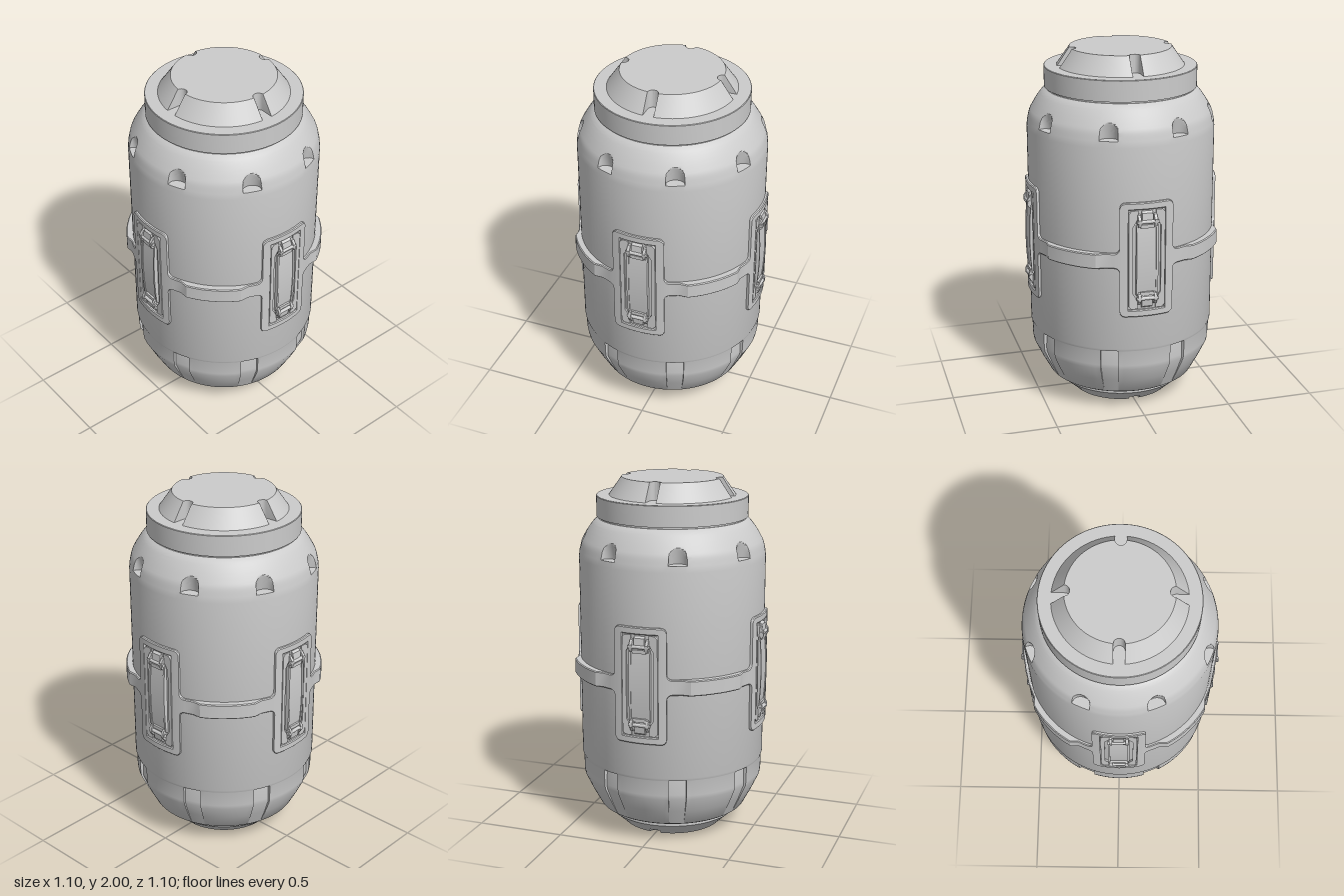
import * as THREE from 'three';
import { toCreasedNormals } from 'three/addons/utils/BufferGeometryUtils.js';

const material = new THREE.MeshStandardMaterial({ color: 0xcccccc });
const polar = (r, a, y) => [r * Math.sin(a), y, r * Math.cos(a)];

function mesh(name, geometry, crease = 0.5) {
  const m = new THREE.Mesh(toCreasedNormals(geometry, crease), material);
  m.name = name;
  return m;
}

// Skin over rows of points: rows run upward, points run counter-clockwise
function loft(rows) {
  const n = rows[0].length, index = [];
  for (let i = 0; i < rows.length - 1; i++) {
    for (let j = 0; j < n - 1; j++) {
      const a = i * n + j, b = a + 1, c = b + n, d = a + n;
      index.push(a, b, c, a, c, d);
    }
  }
  const g = new THREE.BufferGeometry();
  g.setAttribute('position', new THREE.Float32BufferAttribute(rows.flat(2), 3));
  g.setIndex(index);
  g.computeVertexNormals();
  return g;
}

function lathe(name, profile) {
  const pts = profile.map(([r, y]) => new THREE.Vector2(r, y));
  return mesh(name, new THREE.LatheGeometry(pts, 96));
}

// Barrel with eight scooped pockets in the shoulder and eight shallow ones near the foot
function createBody() {
  const half = 0.096, columns = [];
  for (let k = 0; k < 8; k++) {
    const mid = (k + 0.5) * Math.PI / 4, edge = Math.PI / 8;
    for (let i = 0; i < 5; i++) columns.push([mid - edge + (edge - half) * i / 5, null]);
    columns.push([mid - half - 0.001, null]);
    for (let i = -6; i <= 6; i++) {
      const t = Math.sin(i * Math.PI / 12);
      columns.push([mid + half * t, t]);
    }
    columns.push([mid + half + 0.001, null]);
    for (let i = 1; i <= 4; i++) columns.push([mid + half + (edge - half) * i / 5, null]);
  }
  columns.push([Math.PI * 2, null]);

  const shoulder = new THREE.SplineCurve([[0.5155, 1.602], [0.505, 1.645], [0.487, 1.68],
    [0.462, 1.72], [0.435, 1.755], [0.41, 1.775]].map(p => new THREE.Vector2(...p)));
  const profile = [[0.34, 0.11], [0.405, 0.11], [0.42, 0.12], [0.468, 0.21], [0.508, 0.295], [0.512, 0.32],
    [0.514, 0.408], [0.515, 0.411], [0.52, 0.425], [0.52, 1.565], [0.516, 1.6],
    ...shoulder.getPoints(24).map(p => [p.x, p.y]), [0.38, 1.775]];

  const rows = profile.map(([r, y]) => columns.map(([a, t]) => {
    let rad = r;
    if (t !== null && y > 1.601) {
      const cut = 0.5 - 0.04 * Math.sqrt(Math.max(0, 1 - t * t)) + 0.22 * (y - 1.6);
      rad = Math.min(r, cut);
    }
    if (t !== null && y > 0.12 && y < 0.41) rad = r - 0.02 * (y - 0.12) / 0.28;
    return polar(rad, a, y);
  }));
  return mesh('body', loft(rows));
}

// Curved raised plate: columns are [angle, low y, high y, radius]
function curvedPlate(name, columns) {
  const inner = 0.5, c = 0.005;
  const first = columns[0], last = columns[columns.length - 1];
  const all = [[...first.slice(0, 3), inner], ...columns, [...last.slice(0, 3), inner]];
  const rows = [
    all.map(([a, lo]) => polar(inner, a, lo)),
    all.map(([a, lo, , r]) => polar(Math.max(inner, r - c), a, lo)),
    all.map(([a, lo, , r]) => polar(r, a, lo + c)),
    all.map(([a, , hi, r]) => polar(r, a, hi - c)),
    all.map(([a, , hi, r]) => polar(Math.max(inner, r - c), a, hi)),
    all.map(([a, , hi]) => polar(inner, a, hi)),
  ];
  return mesh(name, loft(rows), 0.4);
}

const MID = 0.945, PLATE_R = 0.535, OPEN = 0.105 / PLATE_R;

// Quarter of the girdle: plate side, filleted band, thick guard at 45 degrees, next plate side
function girdleQuarter() {
  const halfCols = [], R = 0.03;
  const add = (s, h, r = PLATE_R) => halfCols.push([s / PLATE_R, h, r]);
  add(0.105, 0.325);
  for (let i = 0; i <= 6; i++) {
    const t = i * Math.PI / 12;
    add(0.12 + R * Math.sin(t), 0.295 + R * Math.cos(t));
  }
  for (let i = 0; i <= 6; i++) {
    const t = i * Math.PI / 12;
    add(0.18 - R * Math.cos(t), 0.073 - R * Math.sin(t));
  }
  const deg = Math.PI / 180;
  halfCols.push([25 * deg, 0.043, PLATE_R]);
  for (let a = 29.5; a <= 45; a += 3.1) halfCols.push([a * deg, 0.043, 0.556]);
  const mirrored = halfCols.slice().reverse().map(([a, h, r]) => [Math.PI / 2 - a, h, r]);
  const cols = [...halfCols, ...mirrored].map(([a, h, r]) => [a, MID - h, MID + h, r]);
  return curvedPlate('girdle', cols);
}

function plateEnd(lo, hi) {
  const cols = [];
  for (let i = -4; i <= 4; i++) cols.push([OPEN * i / 4, lo, hi, PLATE_R]);
  return curvedPlate('latchPlateEnd', cols);
}

function box(name, w, h, d, x, y, z) {
  const m = mesh(name, new THREE.BoxGeometry(w, h, d));
  m.position.set(x, y, z);
  return m;
}

// Side profile [z, y] extruded across x
function across(name, points, width, x = 0) {
  const shape = new THREE.Shape(points.map(p => new THREE.Vector2(...p)));
  const g = new THREE.ExtrudeGeometry(shape, { depth: width, bevelEnabled: false });
  g.rotateY(-Math.PI / 2).translate(x + width / 2, 0, 0);
  return mesh(name, g);
}

function bow(halfLength, zEnd, zMid) {
  const pts = [[0.5, -halfLength]];
  for (let i = -8; i <= 8; i++) {
    const t = i / 8;
    pts.push([zMid - (zMid - zEnd) * t * t, halfLength * t]);
  }
  pts.push([0.5, halfLength]);
  return pts;
}

// Clasp set in the opening of each plate
function createLatch() {
  const g = new THREE.Group();
  g.name = 'latch';
  for (const s of [-1, 1]) {
    const rail = new THREE.Shape([[0.1, -0.265], [0.1, 0.265], [0.085, 0.28], [0.05, 0.28], [0.05, 0.235],
      [0.068, 0.205], [0.078, 0.19], [0.078, -0.19], [0.068, -0.205], [0.05, -0.235], [0.05, -0.28],
      [0.085, -0.28]].map(([x, y]) => new THREE.Vector2(s * x, y)));
    const rg = new THREE.ExtrudeGeometry(rail, { depth: 0.026, bevelEnabled: false });
    rg.translate(0, 0, 0.5);
    g.add(mesh('latchRail', rg));
    g.add(across('handleEdge', bow(0.2, 0.53, 0.54), 0.012, s * 0.054));
    // Hinge bracket with lugs and pin at each end
    const end = [[0.5, 0.205], [0.53, 0.205], [0.538, 0.225], [0.533, 0.265], [0.52, 0.275], [0.5, 0.275]];
    const lug = [[0.5, 0.185], [0.54, 0.19], [0.548, 0.205], [0.548, 0.23], [0.53, 0.255], [0.5, 0.265]];
    const flip = pts => pts.map(([z, y]) => [z, s * y]);
    g.add(across('hingeBracket', flip(end), 0.06));
    for (const x of [-0.045, 0.045]) g.add(across('hingeLug', flip(lug), 0.016, x));
    const pin = mesh('hingePin', new THREE.CylinderGeometry(0.01, 0.01, 0.12, 12).rotateZ(Math.PI / 2));
    pin.position.set(0, s * 0.218, 0.537);
    g.add(pin, box('handleTip', 0.075, 0.02, 0.035, 0, s * 0.192, 0.52));
  }
  g.add(across('handle', bow(0.185, 0.526, 0.536), 0.1));
  g.position.y = MID;
  return g;
}

// Round outline with four round-ended notches on the axes
function notchedOutline(R, floor) {
  const w = 0.03, pts = [], mouth = Math.asin(w / R);
  for (let k = 0; k < 4; k++) {
    const base = k * Math.PI / 2, c = Math.cos(base), s = Math.sin(base);
    for (let i = 0; i <= 10; i++) {
      const t = -Math.PI / 2 + i * Math.PI / 10;
      const u = w * Math.sin(t), v = floor + w - w * Math.cos(t);
      pts.push([u * c + v * s, v * c - u * s]);
    }
    for (let i = 0; i <= 20; i++) {
      const a = base + mouth + (Math.PI / 2 - 2 * mouth) * i / 20;
      pts.push([R * Math.sin(a), R * Math.cos(a)]);
    }
  }
  return pts;
}

function notchedDisc(name, [r0, y0], [r1, y1], floor, capTop) {
  const g = new THREE.Group();
  g.name = name;
  const ring = (r, y) => {
    const p = notchedOutline(r, floor).map(([x, z]) => [x, y, z]);
    return [...p, p[0]];
  };
  g.add(mesh(name + 'Side', loft([ring(r0, y0), ring(r1, y1)])));
  const outline = notchedOutline(capTop ? r1 : r0, floor).map(p => new THREE.Vector2(...p));
  const cap = new THREE.ShapeGeometry(new THREE.Shape(outline));
  cap.rotateX(capTop ? -Math.PI / 2 : Math.PI / 2).translate(0, capTop ? y1 : y0, 0);
  g.add(mesh(name + 'Face', cap));
  return g;
}

export function createModel() {
  const model = new THREE.Group();
  model.name = 'canister';
  model.add(createBody());

  // Lid and raised cap
  model.add(lathe('lid', [[0.36, 1.77], [0.405, 1.77], [0.405, 1.785], [0.42, 1.785], [0.42, 1.897],
    [0.417, 1.9], [0, 1.9]]));
  model.add(notchedDisc('lidCap', [0.35, 1.9], [0.28, 2], 0.25, true));

  // Foot
  model.add(lathe('foot', [[0, 0.025], [0.31, 0.025], [0.37, 0.08], [0.37, 0.105], [0.33, 0.115]]));
  model.add(notchedDisc('footPad', [0.285, 0], [0.31, 0.026], 0.25, false));

  // Girdle and latches, repeated on four sides
  for (let k = 0; k < 4; k++) {
    const side = new THREE.Group();
    side.name = 'girdleSide';
    side.add(girdleQuarter(), plateEnd(1.23, 1.27), plateEnd(0.62, 0.66), createLatch());
    side.rotation.y = k * Math.PI / 2;
    model.add(side);
  }
  return model;
}
